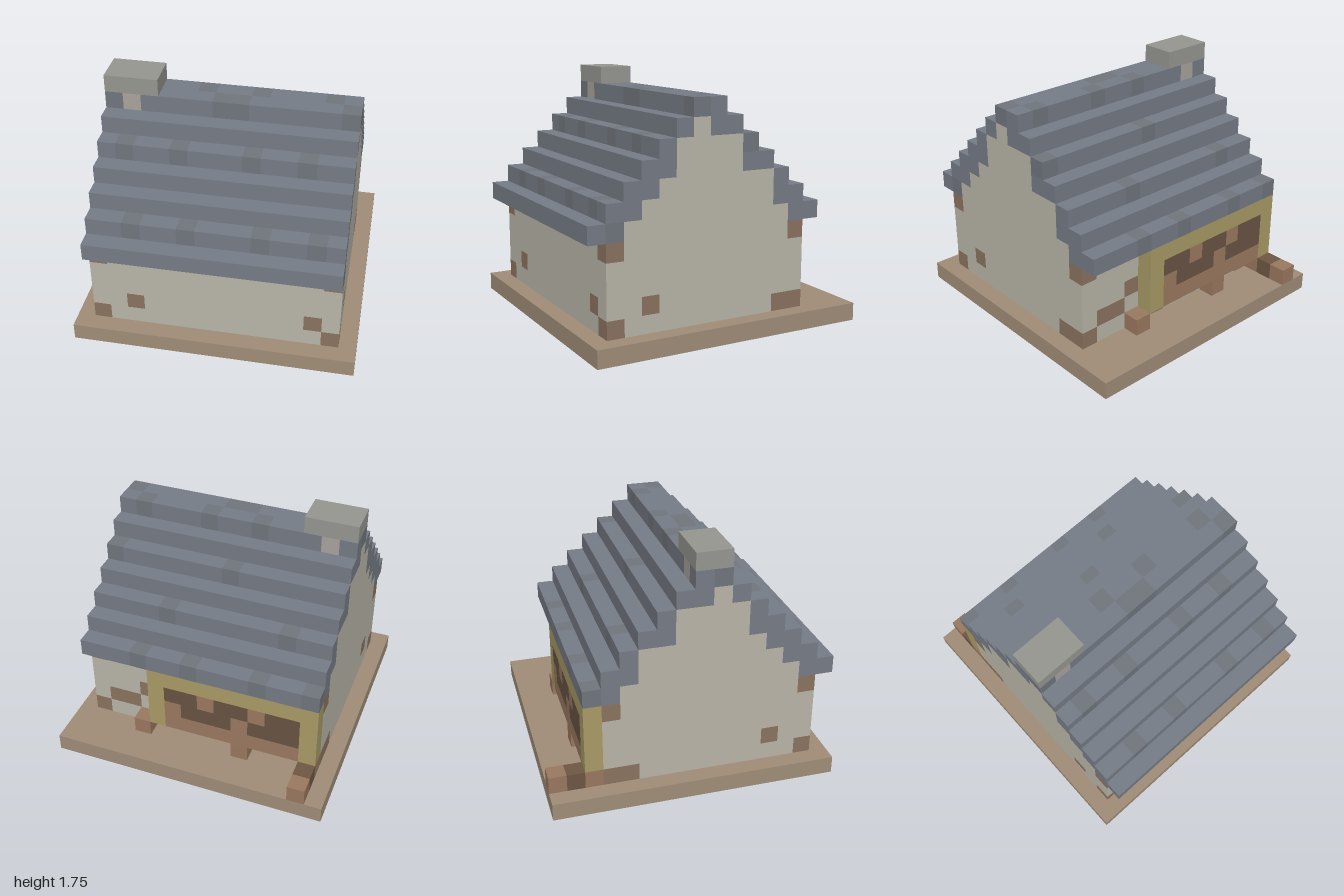
import * as THREE from 'three';

const U = 0.125; // edge of one block

// Part name -> colour
const COLORS = {
  base: 0xa08d78, walls: 0xb9b5a8, timber: 0x8b735f,
  roof: 0x767c86, roofPatches: 0x70767d,
  chimneyCap: 0x969691, chimneyStone: 0xa9a39d,
  signFrame: 0xa99b66, signBoard: 0x9b7a60, signPattern: 0x695443,
  posts: 0x9a785f, darkPost: 0x6f5744,
};

// Roof courses from eave to ridge: [front outer, front inner, back inner, back outer] in blocks
const COURSES = [
  [8, 6, -4, -6], [7, 5, -3, -5], [6, 4, -3, -4], [5, 3, -1, -3],
  [4, 3, -1, -2], [3, 2, 1, -1], [2, 1, 1, 0],
];

// Corner offsets of the six faces of a block, counter-clockwise from outside
const FACES = [
  [[1, 0, 0], [[1, 0, 1], [1, 0, 0], [1, 1, 0], [1, 1, 1]]],
  [[-1, 0, 0], [[0, 0, 0], [0, 0, 1], [0, 1, 1], [0, 1, 0]]],
  [[0, 1, 0], [[0, 1, 1], [1, 1, 1], [1, 1, 0], [0, 1, 0]]],
  [[0, -1, 0], [[0, 0, 0], [1, 0, 0], [1, 0, 1], [0, 0, 1]]],
  [[0, 0, 1], [[0, 0, 1], [1, 0, 1], [1, 1, 1], [0, 1, 1]]],
  [[0, 0, -1], [[1, 0, 0], [0, 0, 0], [0, 1, 0], [1, 1, 0]]],
];

export function createModel() {
  const cells = new Map();
  const key = (x, y, z) => `${x},${y},${z}`;

  // Fill a range of blocks (upper bounds exclusive) with one part
  const fill = (part, x0, x1, y0, y1, z0, z1) => {
    for (let x = x0; x < x1; x++)
      for (let y = y0; y < y1; y++)
        for (let z = z0; z < z1; z++) cells.set(key(x, y, z), { part, x, y, z });
  };
  const put = (part, x, y, z) => fill(part, x, x + 1, y, y + 1, z, z + 1);

  // Ground slab
  fill('base', -8, 8, 0, 1, -8, 8);

  // Four walls
  fill('walls', -7, 7, 1, 6, 6, 7);
  fill('walls', -7, 7, 1, 6, -5, -4);
  for (const x of [-7, 6]) fill('walls', x, x + 1, 1, 6, -5, 7);

  // Stepped roof with gable walls below it
  COURSES.forEach(([f1, f0, b1, b0], i) => {
    const y = 6 + i;
    for (const x of [-7, 6]) fill('walls', x, x + 1, y, y + 1, b1, f0);
    fill('roof', -7, 7, y, y + 1, f0, f1);
    fill('roof', -7, 7, y, y + 1, b0, b1);
  });
  // Scattered slates in a second tone
  for (const c of cells.values())
    if (c.part === 'roof' && (c.x * c.x * 5 + c.y * 7 + c.z * 3 + c.x * c.y + 200) % 7 === 0) c.part = 'roofPatches';

  // Chimney
  fill('chimneyCap', -7, -4, 13, 14, 0, 2);
  fill('chimneyStone', -6, -5, 12, 13, 0, 2);

  // Timber corners and studs
  for (const x of [-7, 6]) {
    for (const y of [1, 5]) for (const z of [-5, 6]) put('timber', x, y, z);
    put('timber', x, 1, -4);
    put('timber', x, 2, 4);
  }
  put('timber', -5, 2, 6);
  put('timber', 5, 2, 6);
  for (const [x, y] of [[5, 2], [4, 2], [3, 3], [1, 1], [-3, 1], [-6, 1]]) put('timber', x, y, -5);

  // Framed board across the back, with a dark meander pattern
  fill('signFrame', -7, 3, 2, 6, -6, -5);
  fill('signBoard', -6, 2, 2, 5, -6, -5);
  ['DD.DD.DD', '.DDD.DDD'].forEach((row, r) => {
    [...row].forEach((c, i) => c === 'D' && put('signPattern', 1 - i, 4 - r, -6));
  });

  // Low posts behind and under the board
  put('posts', 3, 1, -6);
  put('posts', -3, 1, -6);
  put('posts', -7, 1, -6);
  put('posts', -7, 1, -8);
  put('darkPost', -7, 1, -7);

  // Skin the exposed faces of each part; the underside of the slab stays open
  const group = new THREE.Group();
  group.name = 'cottage';
  for (const [part, color] of Object.entries(COLORS)) {
    const pos = [], nor = [], idx = [];
    for (const { part: p, x, y, z } of cells.values()) {
      if (p !== part) continue;
      for (const [n, corners] of FACES) {
        if (y + n[1] < 0 || cells.has(key(x + n[0], y + n[1], z + n[2]))) continue;
        const b = pos.length / 3;
        for (const c of corners) {
          pos.push((x + c[0]) * U, (y + c[1]) * U, (z + c[2]) * U);
          nor.push(...n);
        }
        idx.push(b, b + 1, b + 2, b, b + 2, b + 3);
      }
    }
    const geo = new THREE.BufferGeometry();
    geo.setAttribute('position', new THREE.Float32BufferAttribute(pos, 3));
    geo.setAttribute('normal', new THREE.Float32BufferAttribute(nor, 3));
    geo.setIndex(idx);
    const mesh = new THREE.Mesh(geo, new THREE.MeshStandardMaterial({ color, side: THREE.DoubleSide }));
    mesh.name = part;
    group.add(mesh);
  }
  return group;
}
